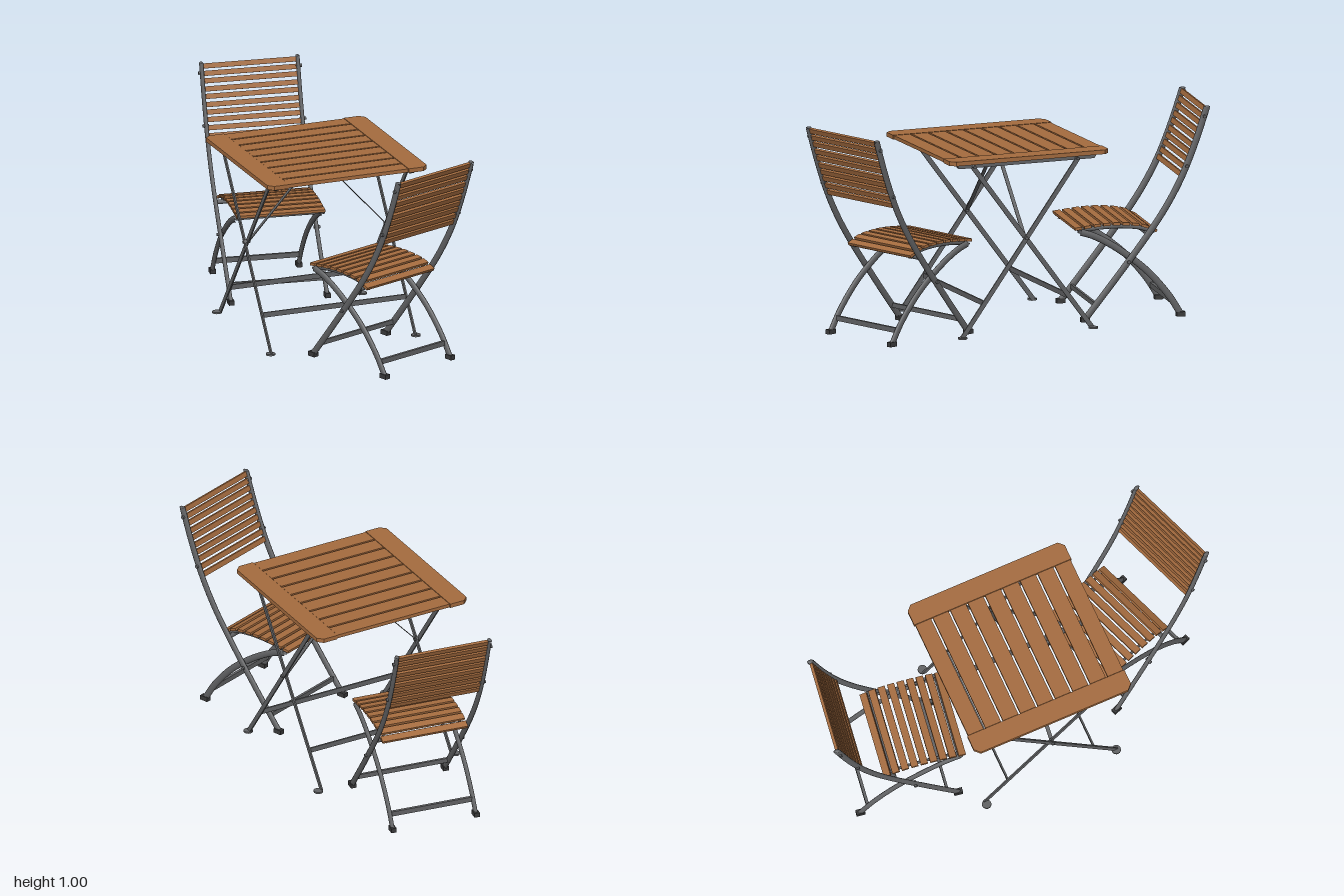
import * as THREE from 'three';

const wood = new THREE.MeshStandardMaterial({ color: 0xa56c3f });
wood.name = 'oiled wood';
const metal = new THREE.MeshStandardMaterial({ color: 0x626365 });
metal.name = 'grey metal';
const rubber = new THREE.MeshStandardMaterial({ color: 0x3a3a3b });
rubber.name = 'dark foot cap';

const V = (x, y, z) => new THREE.Vector3(x, y, z);

function add(group, name, geometry, material, x = 0, y = 0, z = 0) {
  const mesh = new THREE.Mesh(geometry, material);
  mesh.name = name;
  mesh.position.set(x, y, z);
  group.add(mesh);
  return mesh;
}

const box = (group, name, material, w, h, d, x, y, z) =>
  add(group, name, new THREE.BoxGeometry(w, h, d), material, x, y, z);

// Straight flat bar between two points
function beam(group, name, p, q, w, d) {
  const mid = p.clone().lerp(q, 0.5);
  const mesh = box(group, name, metal, w, p.distanceTo(q), d, mid.x, mid.y, mid.z);
  mesh.quaternion.setFromUnitVectors(V(0, 1, 0), q.clone().sub(p).normalize());
}

// Horizontal rod or bolt along x
function rod(group, name, r, length, x, y, z) {
  const g = new THREE.CylinderGeometry(r, r, length, 12).rotateZ(Math.PI / 2);
  return add(group, name, g, metal, x, y, z);
}

// Oval tube following a [z, y] curve at a given x, with rounded ends
function ovalTube(group, name, curve, r, x) {
  const flat = 0.6;
  add(group, name, new THREE.TubeGeometry(curve, 32, r, 12).scale(flat, 1, 1), metal, x);
  for (const t of [0, 1]) {
    const p = curve.getPoint(t);
    add(group, name + 'End', new THREE.SphereGeometry(r, 12, 6).scale(flat, 0.4, 1), metal, x, p.y, p.z);
  }
}

const path = (pts) => new THREE.CatmullRomCurve3(pts.map(([z, y]) => V(0, y, z)));

// Point on a curve at a given height
function atHeight(curve, y) {
  let best = curve.getPoint(0);
  for (let i = 1; i <= 300; i++) {
    const p = curve.getPoint(i / 300);
    if (Math.abs(p.y - y) < Math.abs(best.y - y)) best = p;
  }
  return best;
}

function createTable() {
  const g = new THREE.Group();
  g.name = 'foldingTable';
  const c = 0.025;

  // Table top: nine slats between two end boards with clipped corners
  const pitch = 0.8 / 9;
  for (let i = 0; i < 9; i++)
    box(g, 'tableSlat', wood, 0.598, 0.017, pitch - 0.01, 0, 0.845, -0.4 + pitch * (i + 0.5));
  for (const s of [-1, 1]) {
    const pts = [[0.301, -0.4], [0.4 - c, -0.4], [0.4, -0.4 + c], [0.4, 0.4 - c], [0.4 - c, 0.4], [0.301, 0.4]];
    const shape = new THREE.Shape(pts.map(([x, z]) => new THREE.Vector2(s * x, z)));
    const geo = new THREE.ExtrudeGeometry(shape, { depth: 0.02, bevelEnabled: false }).rotateX(-Math.PI / 2);
    add(g, 'endBoard', geo, wood, 0, 0.835, 0);

    // Rail under each end
    const rail = new THREE.Shape([[-0.36, 0.836], [-0.34, 0.81], [0.34, 0.81], [0.36, 0.836]]
      .map(([z, y]) => new THREE.Vector2(-z, y)));
    const railGeo = new THREE.ExtrudeGeometry(rail, { depth: 0.024, bevelEnabled: false })
      .rotateY(Math.PI / 2).translate(-0.012, 0, 0);
    add(g, 'tableRail', railGeo, metal, s * 0.34, 0, 0);

    // Crossed legs, feet and pivot
    beam(g, 'outerLeg', V(s * 0.362, 0.01, 0.33), V(s * 0.362, 0.82, -0.255), 0.007, 0.022);
    beam(g, 'innerLeg', V(s * 0.348, 0.01, -0.33), V(s * 0.348, 0.82, 0.275), 0.007, 0.022);
    for (const z of [-0.33, 0.33])
      add(g, 'tableFoot', new THREE.CylinderGeometry(0.022, 0.022, 0.008, 16), metal, s * 0.365, 0.01, z);
    rod(g, 'legPivot', 0.008, 0.035, s * 0.355, 0.46, 0.008);
    for (const z of [-0.25, 0.27]) rod(g, 'railBolt', 0.007, 0.035, s * 0.355, 0.818, z);

    // Diagonal stay up to the centre rail
    beam(g, 'diagonalStay', V(s * 0.345, 0.46, 0.008), V(s * 0.01, 0.826, 0.008), 0.004, 0.018);
  }
  box(g, 'centreRail', metal, 0.025, 0.01, 0.7, 0, 0.831, 0);
  box(g, 'frontStretcher', metal, 0.72, 0.024, 0.008, 0, 0.165, 0.218);
  box(g, 'backStretcher', metal, 0.69, 0.024, 0.008, 0, 0.165, -0.214);
  g.position.set(-0.03, 0, 0.02);
  return g;
}

// Chair faces local +z, with its backrest top at z = 0
function createChair(x, z, forwardX, forwardZ) {
  const g = new THREE.Group();
  g.name = 'foldingChair';
  const post = path([[0, 0.994], [0.055, 0.83], [0.12, 0.67], [0.19, 0.54], [0.27, 0.42], [0.43, 0.21], [0.585, 0.015]]);
  const leg = path([[0.6, 0.425], [0.54, 0.405], [0.44, 0.35], [0.29, 0.235], [0.18, 0.11], [0.12, 0.015]]);
  const seat = path([[0.25, 0.42], [0.3, 0.442], [0.4, 0.455], [0.5, 0.454], [0.61, 0.442]]);
  const rail = path([[0.25, 0.405], [0.3, 0.427], [0.4, 0.44], [0.5, 0.439], [0.6, 0.428]]);

  for (const s of [-1, 1]) {
    ovalTube(g, 'backPost', post, 0.016, s * 0.23);
    ovalTube(g, 'curvedLeg', leg, 0.016, s * 0.207);
    ovalTube(g, 'seatRail', rail, 0.01, s * 0.19);
    for (const [curve, fx] of [[post, 0.23], [leg, 0.207]]) {
      const p = curve.getPoint(1);
      box(g, 'footCap', rubber, 0.026, 0.022, 0.042, s * fx, 0.015, p.z);
    }
    for (const y of [0.95, 0.72, 0.28]) {
      const p = atHeight(post, y);
      rod(g, 'bolt', 0.008, 0.03, s * 0.232, p.y, p.z);
    }
  }

  // Backrest slats
  for (let i = 0; i < 10; i++) {
    const p = atHeight(post, 0.982 - i * 0.034);
    box(g, 'backSlat', wood, 0.442, 0.024, 0.014, 0, p.y, p.z).rotation.x = -0.35;
  }

  // Seat slats following the dished profile
  for (let i = 0; i < 9; i++) {
    const t = i / 8;
    const p = seat.getPointAt(t);
    const d = seat.getTangentAt(t);
    box(g, 'seatSlat', wood, 0.424, 0.013, 0.034, 0, p.y, p.z).rotation.x = -Math.atan2(d.y, d.z);
  }

  // Cross members
  rod(g, 'rearSeatBar', 0.011, 0.45, 0, 0.405, 0.28);
  rod(g, 'frontSeatBar', 0.008, 0.41, 0, 0.425, 0.595);
  const p = atHeight(post, 0.08);
  box(g, 'frontStretcher', metal, 0.45, 0.022, 0.012, 0, p.y, p.z);
  const q = atHeight(leg, 0.075);
  box(g, 'rearStretcher', metal, 0.41, 0.024, 0.014, 0, q.y, q.z);

  g.position.set(x, 0, z);
  g.rotation.y = Math.atan2(forwardX, forwardZ);
  return g;
}

export function createModel() {
  const model = new THREE.Group();
  model.name = 'foldingBistroSet';
  model.add(createTable());
  model.add(createChair(0.205, 0.9, -0.35, -0.937));
  model.add(createChair(0.03, -0.95, -0.15, 0.989));
  return model;
}
